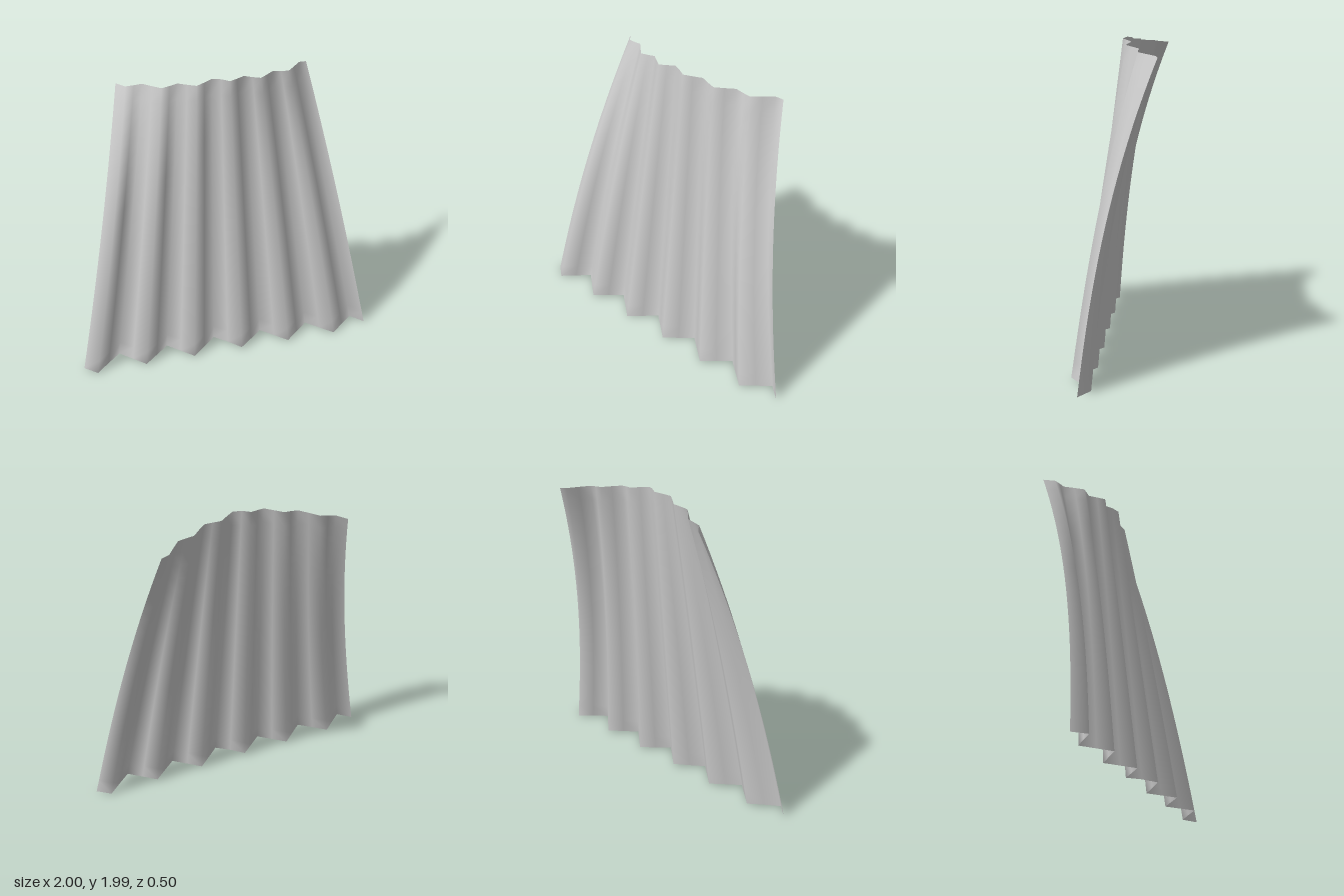
import * as THREE from 'three';

const COLS = 24; // four columns per pleat, six pleats
const ROWS = 20;

// Surface rule: u runs across the cloth, t runs from hem to shoulders
function clothPoint(u, t, target) {
  const side = 2 * u - 1;
  const s = Math.abs(side);

  // straight tapering sides
  const x = side * (1 - 0.4 * t);

  // hem dips at the outer corners, shoulder line slopes from the middle
  const hem = 0.03 - 0.012 * Math.min(1, s / 0.2) - 0.012 * Math.max(0, (s - 0.8) / 0.2);
  const shoulder = 2 - 0.075 * s;
  const y = THREE.MathUtils.lerp(hem, shoulder, t);

  // backward lean, wrap around the shoulders, and pleats fading upward
  const lean = 0.175 - 0.197 * t;
  const wrap = -0.228 * s * s * Math.pow(t, 2.4);
  const pleat = (0.071 - 0.046 * t) * Math.sin(u * Math.PI * 12);
  return target.set(x, y, lean + wrap + pleat);
}

export function createModel() {
  const group = new THREE.Group();
  group.name = 'cape';

  const clothMaterial = new THREE.MeshStandardMaterial({ color: 0xcccccc, side: THREE.DoubleSide });
  clothMaterial.name = 'light grey cloth';

  // Pleated cloth sheet
  const geometry = new THREE.PlaneGeometry(2, 2, COLS, ROWS);
  const position = geometry.attributes.position;
  const uv = geometry.attributes.uv;
  const p = new THREE.Vector3();
  for (let i = 0; i < position.count; i++) {
    clothPoint(uv.getX(i), uv.getY(i), p);
    position.setXYZ(i, p.x, p.y, p.z);
  }
  geometry.computeVertexNormals();

  const cloth = new THREE.Mesh(geometry, clothMaterial);
  cloth.name = 'pleatedCloth';
  group.add(cloth);
  return group;
}
